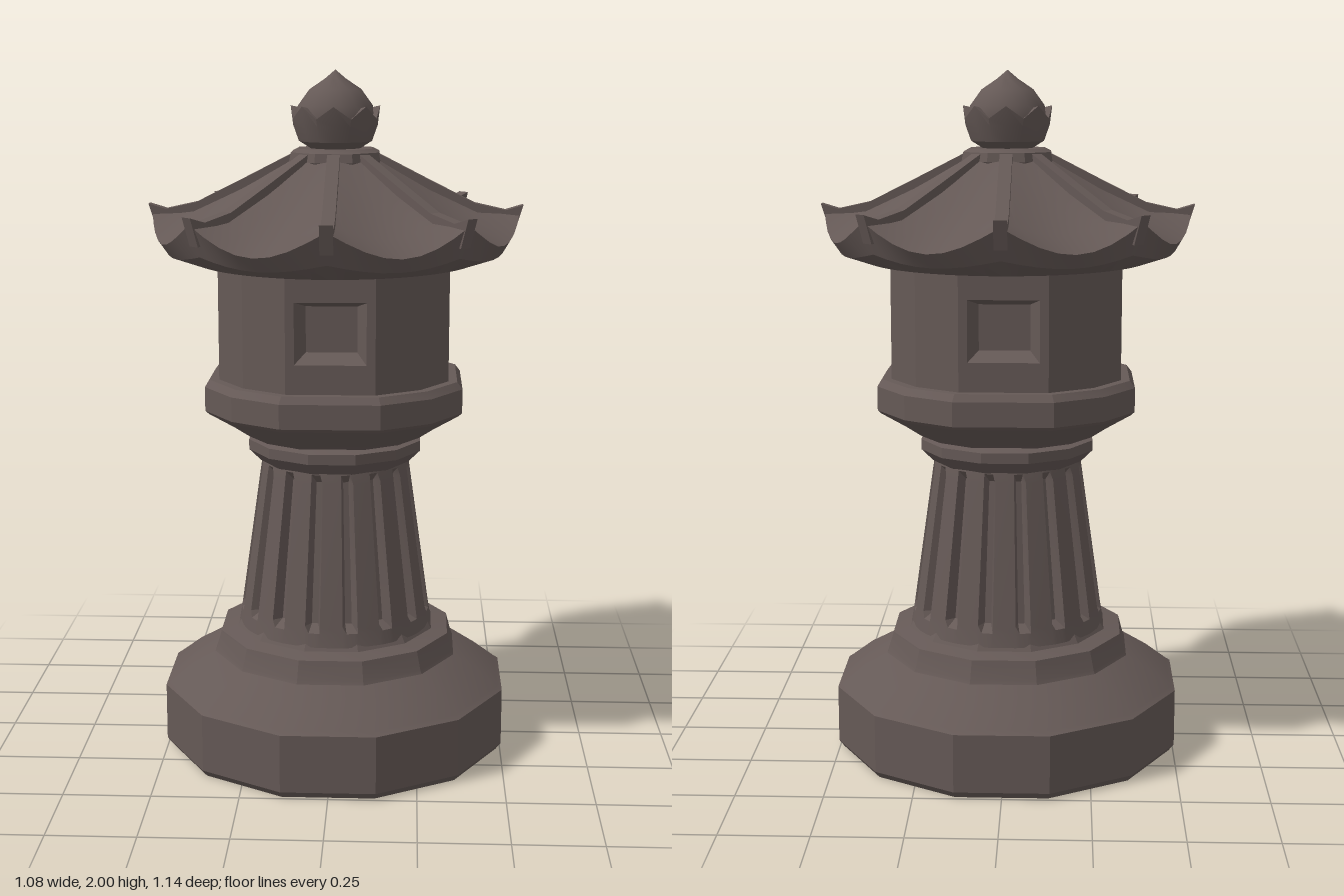
import * as THREE from 'three';
import { toCreasedNormals } from 'three/addons/utils/BufferGeometryUtils.js';

const stone = new THREE.MeshStandardMaterial({ color: 0x655956 });
stone.name = 'weatheredStone';

// Skin closed loops of n points; fn(row, i) gives [x, y, z]. skip(i) leaves a strip open.
function loft(rows, n, fn, crease = 0.4, skip = () => false) {
  const pos = [], idx = [];
  rows.forEach((row) => {
    for (let i = 0; i < n; i++) pos.push(...fn(row, i));
  });
  for (let r = 0; r < rows.length - 1; r++) {
    for (let i = 0; i < n; i++) {
      if (skip(i)) continue;
      const a = r * n + i, b = r * n + (i + 1) % n;
      idx.push(a, b, a + n, b, b + n, a + n);
    }
  }
  const g = new THREE.BufferGeometry();
  g.setAttribute('position', new THREE.Float32BufferAttribute(pos, 3));
  g.setIndex(idx);
  return toCreasedNormals(g, crease);
}

const polar = (r, y, a) => [r * Math.sin(a), y, r * Math.cos(a)];

// Regular polygon turned about the axis, with a flat face to the front
const turned = (profile, n, crease) =>
  loft(profile, n, ([r, y], i) => polar(r, y, ((i - 0.5) / n) * Math.PI * 2), crease);

// Twelve corners: four wide window faces with two narrow faces at each diagonal
const CORNERS = [-20.7, 20.7, 45];
const chamberAngle = (i) => THREE.MathUtils.degToRad(CORNERS[i % 3] + 90 * Math.floor(i / 3));

export function createModel() {
  const model = new THREE.Group();
  model.name = 'stoneLantern';
  const add = (name, geometry, parent = model) => {
    const mesh = new THREE.Mesh(geometry, stone);
    mesh.name = name;
    parent.add(mesh);
    return mesh;
  };

  // Base drum with sloping shoulder and step
  add('base', turned([[0, 0], [0.505, 0], [0.52, 0.02], [0.52, 0.19], [0.505, 0.2],
    [0.44, 0.25], [0.37, 0.285]], 12));
  add('baseStep', turned([[0.37, 0.285], [0.365, 0.295], [0.35, 0.35], [0.30, 0.36],
    [0.285, 0.385], [0, 0.385]], 12));

  // Fluted, tapering pillar: four points for each of sixteen ribs
  const ribs = 16;
  const ribSteps = [-0.3, 0.3, 0.4, 0.6];
  add('flutedPillar', loft(
    [[0.29, 0.37, 0], [0.283, 0.41, 0], [0.28, 0.43, 0.032], [0.222, 0.84, 0.026],
      [0.218, 0.865, 0], [0.215, 0.88, 0]],
    ribs * 4,
    ([r, y, cut], i) => {
      const k = i % 4;
      const a = ((Math.floor(i / 4) + ribSteps[k]) / ribs) * Math.PI * 2;
      return polar(k > 1 ? r - cut : r, y, a);
    }, 0.4));

  // Capital and flared support
  add('capital', turned([[0.2, 0.86], [0.225, 0.87], [0.26, 0.905], [0.26, 0.935], [0.21, 0.945]], 12));
  const chamberSection = ([r, y], i) => polar(r, y, chamberAngle(i));
  add('flaredSupport', loft([[0.2, 0.94], [0.265, 0.95], [0.31, 0.98], [0.385, 1.025]], 12, chamberSection));
  add('chamberLedge', loft([[0.385, 1.025], [0.396, 1.035], [0.396, 1.105], [0.38, 1.125],
    [0.33, 1.125]], 12, chamberSection));

  // Light chamber: diagonal walls, then four panels with splayed window recesses
  const chamber = new THREE.Group();
  chamber.name = 'lightChamber';
  model.add(chamber);
  add('diagonalWalls', loft([[0.353, 1.12], [0.353, 1.47]], 12, chamberSection, 0.4, (i) => i % 3 === 0), chamber);
  const square = [[-1, -1], [1, -1], [1, 1], [-1, 1]];
  const panel = loft(
    [[0.125, 0.175, 0.33], [0.1, 0.087, 0.33], [0.072, 0.065, 0.25], [0, 0, 0.25]], 4,
    ([w, h, z], i) => [square[i][0] * w, 1.295 + square[i][1] * h, z], 0.2);
  for (let k = 0; k < 4; k++) add('windowPanel', panel, chamber).rotation.y = (k * Math.PI) / 2;

  // Eight-sided roof with drooping eaves; each row is radius, its change, height, its drop
  const roof = new THREE.Group();
  roof.name = 'roof';
  roof.scale.z = 1.06;
  model.add(roof);
  add('roofShell', loft(
    [[0.27, 0, 1.465, 0], [0.41, 0, 1.46, 0], [0.495, 0.01, 1.51, 0.025], [0.53, 0.015, 1.60, 0.075],
      [0.41, 0, 1.605, 0.04], [0.27, 0, 1.67, 0.025], [0.125, 0, 1.75, 0.005]],
    64,
    ([r, dr, y, dy], i) => {
      const e = Math.sin((i % 8) / 8 * Math.PI);
      return polar(r - dr * e, y - dy * e, (i / 64) * Math.PI * 2);
    }, 0.5), roof);

  // Raised ridges ending in upturned tips
  const ridgeShape = new THREE.Shape([[0.11, 1.70], [0.40, 1.56], [0.515, 1.54], [0.54, 1.62],
    [0.49, 1.605], [0.40, 1.625], [0.27, 1.69], [0.11, 1.772]].map((p) => new THREE.Vector2(...p)));
  const ridge = new THREE.ExtrudeGeometry(ridgeShape, { depth: 0.036, bevelEnabled: false });
  ridge.translate(0, 0, -0.018);
  for (let k = 0; k < 8; k++) add('roofRidge', ridge, roof).rotation.y = (k * Math.PI) / 4;

  // Roof cap and bud finial held in a ring of pointed petals
  add('roofCap', turned([[0.13, 1.73], [0.14, 1.745], [0.135, 1.77], [0.115, 1.78], [0, 1.78]], 8));
  add('finialBud', turned([[0.06, 1.775], [0.1, 1.80], [0.115, 1.85], [0.108, 1.90], [0.075, 1.945],
    [0.03, 1.975], [0, 2]], 16, 0.7));
  add('finialPetals', loft([[0.065, 1.775, 0], [0.105, 1.80, 0], [0.121, 1.845, 0], [0.128, 1.90, 0.035],
    [0.106, 1.895, 0.035]], 16,
    ([r, y, dip], i) => polar(r, i % 2 ? y - dip : y, (i / 16) * Math.PI * 2), 0.5));

  return model;
}
